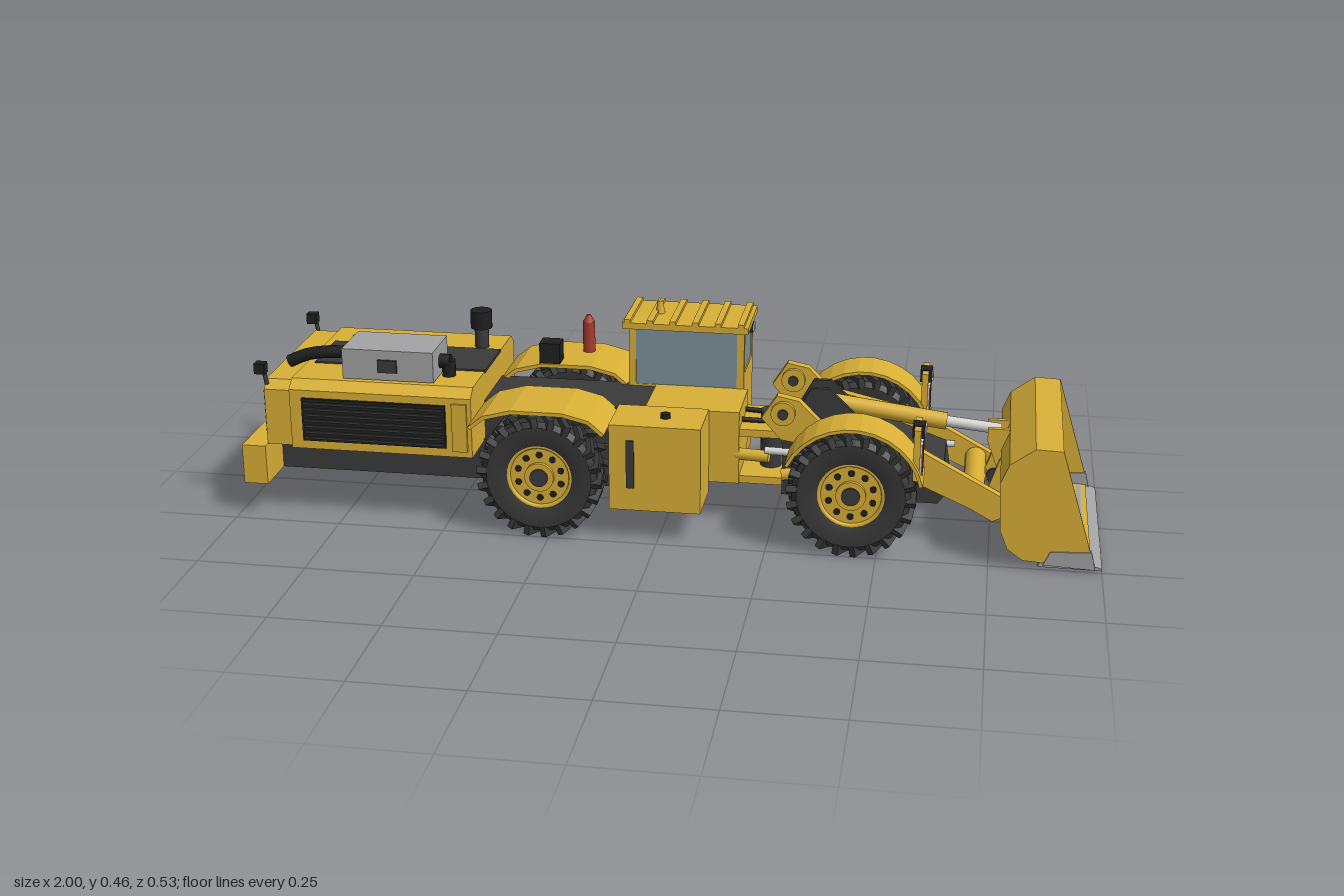
import * as THREE from 'three';
import { mergeGeometries, toCreasedNormals } from 'three/addons/utils/BufferGeometryUtils.js';

const mat = (name, color) => Object.assign(new THREE.MeshStandardMaterial({ color }), { name });
const M = {
  yellow: mat('yellow paint', 0xd9b036), dark: mat('dark metal', 0x3a3a3b), black: mat('black trim', 0x1f1f20),
  tyre: mat('tyre rubber', 0x383838), grey: mat('grey steel', 0xa3a2a4), silver: mat('silver rod', 0xd2d2d0),
  glass: mat('blue grey glass', 0x7d929a), red: mat('red', 0xa83c2e),
};
const ZC = 0.012; // centre line of the machine

export function createModel() {
  const root = new THREE.Group();
  root.name = 'bucketVehicle';
  const add = (name, geo, m, parent = root) => {
    const mesh = new THREE.Mesh(geo, m);
    mesh.name = name;
    parent.add(mesh);
    return mesh;
  };
  const box = (name, m, x0, x1, y0, y1, z0, z1) => {
    const b = add(name, new THREE.BoxGeometry(x1 - x0, y1 - y0, z1 - z0), m);
    b.position.set((x0 + x1) / 2, (y0 + y1) / 2, (z0 + z1) / 2);
  };
  const shape = pts => new THREE.Shape(pts.map(p => new THREE.Vector2(...p)));
  const extrude = (pts, depth) => new THREE.ExtrudeGeometry(shape(pts), { depth, bevelEnabled: false });
  // Side outline (x, y) swept across z
  const prismZ = (name, m, pts, z0, z1) => add(name, extrude(pts, z1 - z0).translate(0, 0, z0), m);
  // End outline (z, y) swept along x
  const prismX = (name, m, pts, x0, x1) =>
    add(name, extrude(pts.map(([z, y]) => [-z, y]), x1 - x0).rotateY(Math.PI / 2).translate(x0, 0, 0), m);
  // Round bar between two points
  const rod = (name, m, a, b, r, r2 = r) => {
    const p = new THREE.Vector3(...a), d = new THREE.Vector3(...b).sub(p);
    const c = add(name, new THREE.CylinderGeometry(r2, r, d.length(), 16), m);
    c.position.copy(p).addScaledVector(d, 0.5);
    c.quaternion.setFromUnitVectors(new THREE.Vector3(0, 1, 0), d.normalize());
  };
  // Outline of a bent plate of thickness t lying on the left of a path
  const plate = (pts, t) => {
    const inner = pts.map((p, i) => {
      const a = pts[Math.max(i - 1, 0)], b = pts[Math.min(i + 1, pts.length - 1)];
      const dx = b[0] - a[0], dy = b[1] - a[1], l = Math.hypot(dx, dy);
      return [p[0] - dy / l * t, p[1] + dx / l * t];
    });
    return [...pts, ...inner.reverse()];
  };
  // Warning plate with slanted stripes, facing along x
  const hazard = (x, y0, y1, z0, z1, dir) => {
    box('warningPlate', M.silver, Math.min(x, x + dir * 0.004), Math.max(x, x + dir * 0.004), y0, y1, z0, z1);
    const w = (z1 - z0) / 7;
    for (let i = 0; i < 3; i++) {
      const z = z0 + w * (2 * i + 0.2), xs = x + dir * 0.004;
      prismX('warningStripe', M.red, [[z, y0], [z + w, y0], [z + w * 2.4, y1], [z + w * 1.4, y1]],
        Math.min(xs, xs + dir * 0.002), Math.max(xs, xs + dir * 0.002));
    }
  };

  // Wheels
  const profile = [[0.07, -0.038], [0.09, -0.046], [0.122, -0.046], [0.134, -0.036], [0.134, 0.036], [0.122, 0.046], [0.09, 0.046], [0.07, 0.038]];
  const tyreGeo = toCreasedNormals(new THREE.LatheGeometry(profile.map(p => new THREE.Vector2(...p)), 40).rotateX(Math.PI / 2), 0.5);
  const lugs = [];
  for (const s of [-1, 1]) for (let i = 0; i < 22; i++) {
    lugs.push(new THREE.BoxGeometry(0.015, 0.024, 0.05).rotateY(s * 0.5)
      .translate(0, 0.133, s * 0.025).rotateZ((i + (s > 0 ? 0.5 : 0)) / 22 * Math.PI * 2));
  }
  const lugGeo = mergeGeometries(lugs);
  const disc = (r, d, n = 24) => new THREE.CylinderGeometry(r, r, d, n).rotateX(Math.PI / 2);
  const holes = mergeGeometries(Array.from({ length: 10 }, (_, i) =>
    disc(0.008, 0.072, 10).translate(0, 0.052, 0).rotateZ(i * Math.PI / 5)));
  for (const x of [-0.27, 0.44]) {
    for (const s of [-1, 1]) {
      const w = new THREE.Group();
      w.name = 'wheel';
      w.position.set(x, 0.146, ZC + s * 0.193);
      root.add(w);
      add('tyre', tyreGeo, M.tyre, w);
      add('tread', lugGeo, M.tyre, w);
      add('rim', disc(0.078, 0.068, 32), M.yellow, w);
      add('rimRing', new THREE.TorusGeometry(0.074, 0.006, 8, 32).translate(0, 0, s * 0.035), M.yellow, w);
      add('rimHoles', holes, M.black, w);
      add('hub', disc(0.034, 0.086), M.yellow, w);
      add('hubCap', disc(0.021, 0.096), M.dark, w);
    }
    rod('axle', M.yellow, [x, 0.146, ZC - 0.18], [x, 0.146, ZC + 0.18], 0.04);
  }

  // Rear chassis, engine hood and bumper
  box('rearChassis', M.dark, -0.93, -0.1, 0.08, 0.18, -0.09, 0.115);
  box('rearFrame', M.dark, -0.43, -0.1, 0.18, 0.27, -0.08, 0.1);
  prismX('engineHood', M.yellow, [[0.225, 0.175], [0.225, 0.318], [0.2, 0.338], [-0.18, 0.338], [-0.205, 0.318], [-0.205, 0.175]], -0.86, -0.43);
  prismX('hoodTail', M.yellow, [[0.21, 0.175], [0.21, 0.31], [0.19, 0.33], [-0.17, 0.33], [-0.19, 0.31], [-0.19, 0.175]], -0.925, -0.86);
  box('hoodDeck', M.dark, -0.84, -0.428, 0.335, 0.342, -0.065, 0.09);
  box('rearBumper', M.yellow, -0.982, -0.925, 0.08, 0.175, -0.205, 0.228);
  box('towHook', M.black, -1, -0.98, 0.1, 0.145, ZC - 0.025, ZC + 0.025);
  hazard(-0.982, 0.09, 0.165, 0.07, 0.215, -1);
  hazard(-0.982, 0.09, 0.165, -0.192, -0.047, -1);
  box('rearGrille', M.black, -0.931, -0.924, 0.19, 0.305, -0.155, 0.18);
  for (let i = 0; i < 7; i++) box('rearSlat', M.dark, -0.938, -0.93, 0.195 + i * 0.016, 0.2 + i * 0.016, -0.155, 0.18);
  for (const s of [-1, 1]) {
    const z = ZC + s * 0.215;
    box('sideGrille', M.black, -0.83, -0.49, 0.197, 0.3, z - 0.005, z + 0.005);
    for (let i = 0; i < 7; i++) box('sideSlat', M.dark, -0.825, -0.495, 0.203 + i * 0.014, 0.208 + i * 0.014, z - 0.009, z + 0.009);
    box('hoodPanel', M.yellow, -0.475, -0.44, 0.19, 0.305, z - 0.004, z + 0.004);
    const lz = ZC + s * 0.19;
    rod('rearLampPost', M.dark, [-0.92, 0.32, lz], [-0.925, 0.355, lz], 0.005);
    box('rearLamp', M.black, -0.945, -0.92, 0.347, 0.372, lz - 0.012, lz + 0.012);
  }

  // Equipment on the hood
  box('exhaustBox', M.grey, -0.74, -0.525, 0.34, 0.412, 0.06, 0.19);
  box('exhaustBoxLatch', M.dark, -0.655, -0.61, 0.36, 0.39, 0.188, 0.196);
  const pipe = new THREE.CatmullRomCurve3([[-0.89, 0.35, 0.12], [-0.85, 0.368, 0.12], [-0.8, 0.378, 0.12], [-0.73, 0.38, 0.12]].map(p => new THREE.Vector3(...p)));
  add('exhaustPipe', new THREE.TubeGeometry(pipe, 16, 0.015, 12), M.black);
  rod('pipeElbow', M.black, [-0.53, 0.372, 0.125], [-0.5, 0.372, 0.125], 0.017);
  rod('elbowDrop', M.black, [-0.505, 0.335, 0.125], [-0.505, 0.375, 0.125], 0.016);
  rod('intakeStem', M.dark, [-0.48, 0.335, -0.09], [-0.48, 0.39, -0.09], 0.017);
  rod('intakeCap', M.black, [-0.48, 0.387, -0.09], [-0.48, 0.43, -0.09], 0.026);
  rod('fillerCap', M.black, [-0.79, 0.335, -0.09], [-0.79, 0.35, -0.09], 0.012);

  // Rear fenders and middle body
  const rearArch = [[-0.115, 0.265], [-0.15, 0.295], [-0.21, 0.31], [-0.33, 0.31], [-0.395, 0.293], [-0.43, 0.265]];
  prismZ('rearFenderLeft', M.yellow, plate(rearArch, 0.009), 0.09, 0.262);
  prismZ('rearFenderRight', M.yellow, plate(rearArch, 0.009), -0.24, -0.065);
  box('middleDeck', M.yellow, -0.05, 0.17, 0.1, 0.275, -0.06, 0.1);
  box('middleRear', M.dark, -0.12, -0.05, 0.1, 0.27, -0.06, 0.1);
  box('sideTank', M.yellow, -0.11, 0.1, 0.075, 0.28, 0.1, 0.236);
  box('tankSlot', M.dark, -0.07, -0.052, 0.13, 0.245, 0.233, 0.24);
  rod('tankCap', M.black, [0.01, 0.278, 0.17], [0.01, 0.29, 0.17], 0.012);
  box('controlBox', M.black, -0.335, -0.285, 0.308, 0.36, -0.115, -0.07);
  rod('extinguisher', M.red, [-0.235, 0.308, -0.18], [-0.235, 0.385, -0.18], 0.015);
  rod('extinguisherTop', M.red, [-0.235, 0.385, -0.18], [-0.235, 0.402, -0.18], 0.014, 0.005);

  // Cab shell, open on the far side
  box('cabFloor', M.yellow, -0.115, 0.16, 0.08, 0.105, -0.225, -0.06);
  box('cabFrontPanel', M.yellow, 0.147, 0.16, 0.1, 0.31, -0.225, -0.06);
  box('cabRearPanel', M.yellow, -0.115, -0.102, 0.1, 0.29, -0.225, -0.06);
  box('cabInnerPanel', M.yellow, -0.115, 0.16, 0.1, 0.275, -0.072, -0.06);
  box('cabSidePanel', M.yellow, -0.115, -0.07, 0.1, 0.28, -0.227, -0.213);
  box('cabSidePanel', M.yellow, 0.105, 0.16, 0.1, 0.28, -0.227, -0.213);
  for (const x of [-0.115, 0.143]) for (const z of [-0.227, -0.078])
    box('cabPost', M.yellow, x, x + 0.017, 0.27, 0.415, z, z + 0.018);
  box('sideWindow', M.glass, -0.098, 0.143, 0.275, 0.412, -0.068, -0.062);
  box('frontWindow', M.glass, 0.15, 0.157, 0.31, 0.412, -0.209, -0.078);
  box('rearWindow', M.glass, -0.112, -0.105, 0.29, 0.412, -0.209, -0.078);
  box('cabRoof', M.yellow, -0.13, 0.17, 0.413, 0.428, -0.235, -0.052);
  for (let i = 0; i < 6; i++) box('roofRib', M.yellow, -0.125 + i * 0.054, -0.11 + i * 0.054, 0.428, 0.436, -0.235, -0.052);
  rod('beacon', M.yellow, [-0.053, 0.428, -0.143], [-0.053, 0.458, -0.143], 0.011, 0.007);
  box('cabLampFrame', M.black, 0.155, 0.172, 0.394, 0.414, -0.158, -0.128);
  box('cabLampLens', M.silver, 0.172, 0.175, 0.397, 0.412, -0.155, -0.131);
  for (let i = 0; i < 5; i++) box('doorBar', M.black, -0.1, 0.145, 0.285 + i * 0.026, 0.29 + i * 0.026, -0.223, -0.217);
  for (let i = 0; i < 6; i++) box('doorUpright', M.black, -0.072 + i * 0.035, -0.067 + i * 0.035, 0.28, 0.412, -0.222, -0.216);
  box('seatBase', M.black, -0.06, 0.07, 0.105, 0.2, -0.19, -0.085);
  box('seatBack', M.black, -0.065, 0.06, 0.2, 0.33, -0.11, -0.085);
  box('console', M.dark, 0.09, 0.145, 0.105, 0.28, -0.2, -0.08);
  box('stepTread', M.dark, -0.07, 0.1, 0.08, 0.084, -0.265, -0.225);
  box('step', M.yellow, -0.07, 0.1, 0.068, 0.08, -0.265, -0.22);
  box('mirror', M.glass, 0.13, 0.14, 0.36, 0.381, -0.253, -0.221);
  const rail = [[0.13, 0.35, -0.228], [0.13, 0.35, -0.242], [0.13, 0.205, -0.242], [0.13, 0.205, -0.225]];
  for (let i = 0; i < 3; i++) rod('handrail', M.silver, rail[i], rail[i + 1], 0.004);

  // Articulated joint and front frame
  for (const y of [0.1, 0.215]) box('hingePlate', M.yellow, 0.16, 0.28, y, y + 0.018, -0.07, 0.095);
  rod('hingePin', M.dark, [0.235, 0.085, ZC], [0.235, 0.255, ZC], 0.025);
  prismZ('frontFrame', M.dark, [[0.27, 0.08], [0.63, 0.08], [0.65, 0.11], [0.64, 0.17], [0.5, 0.22], [0.27, 0.24]], -0.075, 0.1);
  for (const s of [-1, 1]) {
    const z = k => ZC + s * k;
    rod('steeringCylinder', M.yellow, [0.16, 0.17, z(0.075)], [0.24, 0.17, z(0.085)], 0.014);
    rod('steeringRod', M.silver, [0.23, 0.185, z(0.085)], [0.33, 0.185, z(0.09)], 0.009);
    rod('hose', M.black, [0.16, 0.24, z(0.035)], [0.42, 0.23, z(0.02)], 0.006);
    // Tower plates and lift arms
    prismZ('towerPlate', M.dark, [[0.26, 0.2], [0.5, 0.2], [0.37, 0.325], [0.33, 0.325]], z(0.03) - 0.006, z(0.03) + 0.006);
    prismZ('liftArm', M.yellow, [[0.225, 0.28], [0.27, 0.23], [0.45, 0.2], [0.7, 0.09], [0.755, 0.06], [0.775, 0.07],
      [0.775, 0.12], [0.7, 0.16], [0.58, 0.225], [0.36, 0.275], [0.31, 0.325], [0.26, 0.335]], z(0.115) - 0.012, z(0.115) + 0.012);
    add('armPivot', disc(0.028, 0.045), M.yellow).position.set(0.275, 0.295, z(0.115));
    add('armPin', disc(0.012, 0.055), M.dark).position.set(0.275, 0.295, z(0.115));
    rod('liftCylinder', M.yellow, [0.27, 0.13, z(0.09)], [0.5, 0.16, z(0.085)], 0.014);
    rod('liftRod', M.silver, [0.5, 0.16, z(0.085)], [0.66, 0.16, z(0.09)], 0.008);
    add('bucketPin', disc(0.018, 0.05), M.dark).position.set(0.755, 0.09, z(0.1));

    // Front fenders with lamps
    const arch = Array.from({ length: 13 }, (_, i) => {
      const a = THREE.MathUtils.degToRad(12 + i * 12);
      return [0.44 + 0.155 * Math.cos(a), 0.15 + 0.152 * Math.sin(a)];
    });
    prismZ('frontFender', M.yellow, plate(arch, -0.008), z(0.195) - 0.055, z(0.195) + 0.055);
    box('fenderBracket', M.yellow, 0.575, 0.59, 0.19, 0.31, z(0.188) - 0.045, z(0.188) + 0.045);
    hazard(0.59, 0.195, 0.275, z(0.188) - 0.04, z(0.188) + 0.04, 1);
    box('headlamp', M.black, 0.57, 0.598, 0.282, 0.312, z(0.188) - 0.018, z(0.188) + 0.018);
    box('headlampLens', M.silver, 0.598, 0.601, 0.286, 0.308, z(0.188) - 0.015, z(0.188) + 0.015);
  }

  // Tilt linkage
  rod('tiltCylinder', M.yellow, [0.36, 0.285, ZC], [0.64, 0.25, ZC], 0.02);
  rod('tiltRod', M.silver, [0.63, 0.251, ZC], [0.765, 0.238, ZC], 0.013);
  rod('armCrossTube', M.yellow, [0.71, 0.125, -0.1], [0.71, 0.125, 0.124], 0.025);
  for (const z of [-0.03, 0.03]) prismZ('bucketEar', M.yellow, [[0.735, 0.25], [0.735, 0.22], [0.765, 0.14], [0.772, 0.14], [0.785, 0.25]], ZC + z - 0.006, ZC + z + 0.006);
  for (const z of [-0.09, 0.09]) prismZ('bucketHinge', M.yellow, [[0.735, 0.11], [0.745, 0.065], [0.785, 0.055], [0.775, 0.2], [0.765, 0.2]], ZC + z - 0.007, ZC + z + 0.007);

  // Bucket
  const back = [[0.9, 0.283], [0.84, 0.285], [0.785, 0.245], [0.767, 0.2], [0.772, 0.09], [0.79, 0.045], [0.825, 0.02], [0.975, 0.01]];
  prismZ('bucketShell', M.yellow, plate(back, 0.01), -0.226, 0.25);
  for (const z of [-0.227, 0.245]) {
    prismZ('bucketSide', M.yellow, [...back, [0.978, 0.03]], z, z + 0.008);
    prismZ('bucketCorner', M.grey, [[0.87, 0.013], [0.985, 0.008], [0.975, 0.05], [0.885, 0.045]], z - 0.003, z + 0.011);
  }
  prismZ('cuttingEdge', M.grey, [[0.86, 0.006], [1, 0.005], [1, 0.01], [0.96, 0.022], [0.86, 0.015]], -0.226, 0.25);
  for (let i = 0; i < 4; i++) box('wearStrip', M.grey, 0.83, 0.96, 0.002, 0.016, -0.19 + i * 0.11, -0.155 + i * 0.11);
  return root;
}
